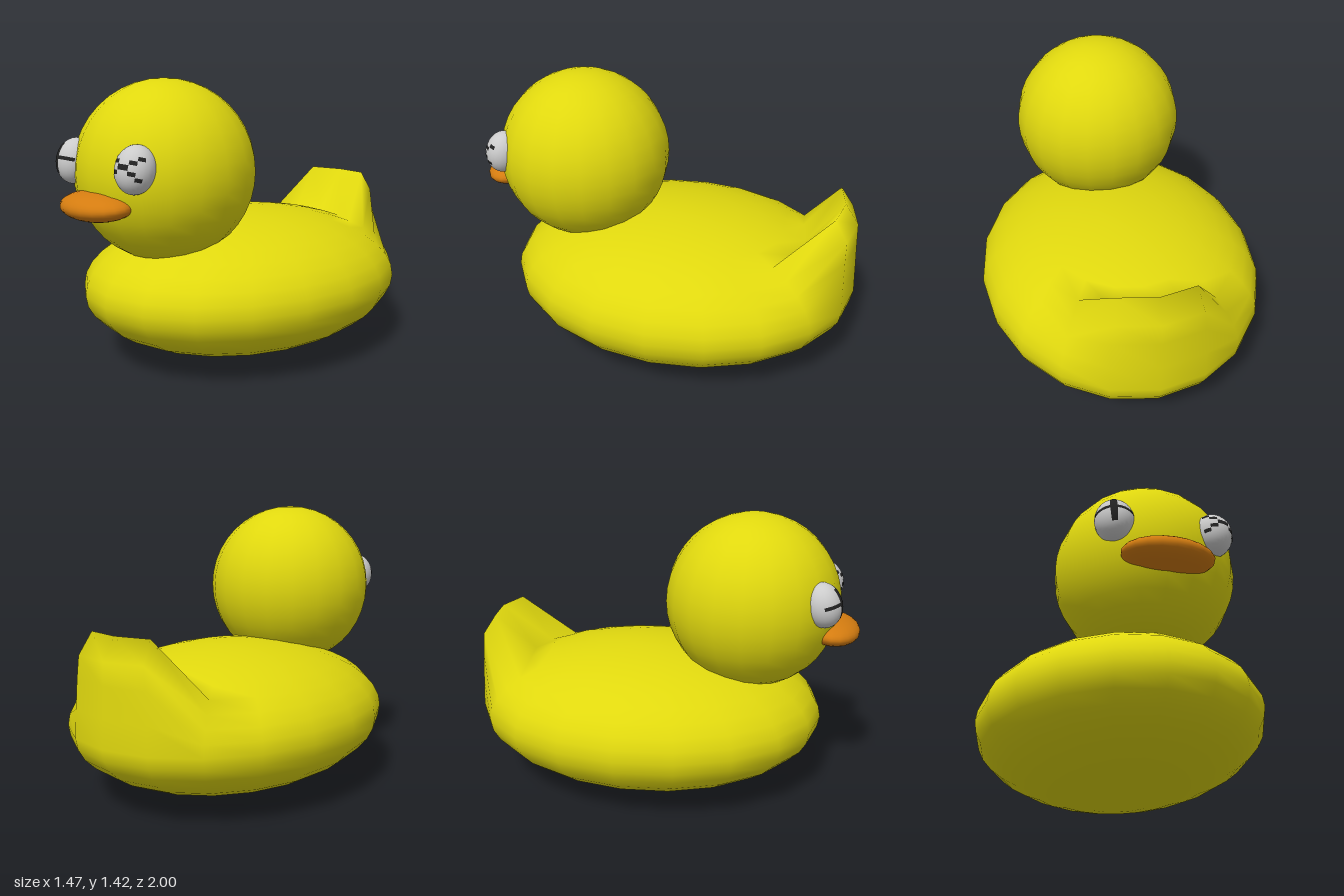
import * as THREE from 'three';
import { mergeVertices } from 'three/addons/utils/BufferGeometryUtils.js';

const mat = (color) => new THREE.MeshStandardMaterial({ color, roughness: 0.7 });
const yellow = mat(0xe0d80e);
const orange = mat(0xd47c10);
const white = mat(0xcccccc);
const black = mat(0x222222);

function ellipsoid(name, material, radii, position, segments = 20) {
  const mesh = new THREE.Mesh(new THREE.SphereGeometry(1, segments, segments), material);
  mesh.name = name;
  mesh.scale.set(...radii);
  mesh.position.set(...position);
  return mesh;
}

// Egg-shaped body whose rear upper rings are pulled up and back into a tail
function makeBody() {
  const N = 20;
  const geo = new THREE.SphereGeometry(1, N, N);
  // ring row -> [lift, push back] for the three rearmost columns
  const tail = { 6: [0.28, 0.085], 7: [0.225, 0.08], 8: [0.17, 0.03], 9: [0.08, 0.004] };
  const rear = (3 * N) / 4;
  const p = geo.attributes.position;
  for (let row = 0; row <= N; row++) {
    for (let col = 0; col <= N; col++) {
      const i = row * (N + 1) + col;
      let y = 0.37 + 0.365 * p.getY(i);
      let z = -0.085 + 0.915 * p.getZ(i);
      if (tail[row] && Math.abs(col - rear) <= 1) {
        y += tail[row][0];
        z -= tail[row][1];
      }
      p.setXYZ(i, 0.735 * p.getX(i), y, z);
    }
  }
  // weld the seam so the shading stays continuous
  geo.deleteAttribute('uv');
  geo.deleteAttribute('normal');
  const welded = mergeVertices(geo, 1e-4);
  welded.computeVertexNormals();
  const body = new THREE.Mesh(welded, yellow);
  body.name = 'body';
  return body;
}

// Dark patch lying on the eye surface: centre angles (a, b) and angular size (w, h)
function eyePatch(a, b, w, h) {
  const geo = new THREE.SphereGeometry(1.012, 12, 8,
    Math.PI / 2 + a - w / 2, w, Math.PI / 2 - b - h / 2, h);
  const patch = new THREE.Mesh(geo, black);
  patch.name = 'pupilMark';
  return patch;
}

function makeEye(name, side, marks) {
  const eye = new THREE.Group();
  eye.name = name;
  eye.add(ellipsoid('eyeball', white, [1, 1, 1], [0, 0, 0], 24));
  marks.forEach((m) => eye.add(eyePatch(...m)));
  eye.scale.set(0.092, 0.11, 0.09);
  eye.position.set(side * 0.233, 1.04, 0.81);
  eye.rotation.set(-0.25, side * 0.25, 0);
  return eye;
}

export function createModel() {
  const model = new THREE.Group();
  model.name = 'duck';
  model.add(makeBody());
  model.add(ellipsoid('head', yellow, [0.44, 0.44, 0.44], [0, 0.985, 0.455]));

  const beak = ellipsoid('beak', orange, [0.215, 0.068, 0.14], [0, 0.86, 0.857]);
  beak.rotation.x = 0.08;
  model.add(beak);

  // Upright cross on one eye, stepped diagonal cross on the other
  const upright = [[0, 0, 2.4, 0.15], [0, 0, 0.36, 1.4]];
  const stepped = [[0, 0, 0.6, 0.22]];
  for (const sx of [-1, 1]) {
    for (const sy of [-1, 1]) {
      stepped.push([sx * 0.5, sy * 0.22, 0.4, 0.17], [sx * 0.9, sy * 0.42, 0.4, 0.17]);
    }
  }
  model.add(makeEye('rightEye', -1, upright));
  model.add(makeEye('leftEye', 1, stepped));
  return model;
}
